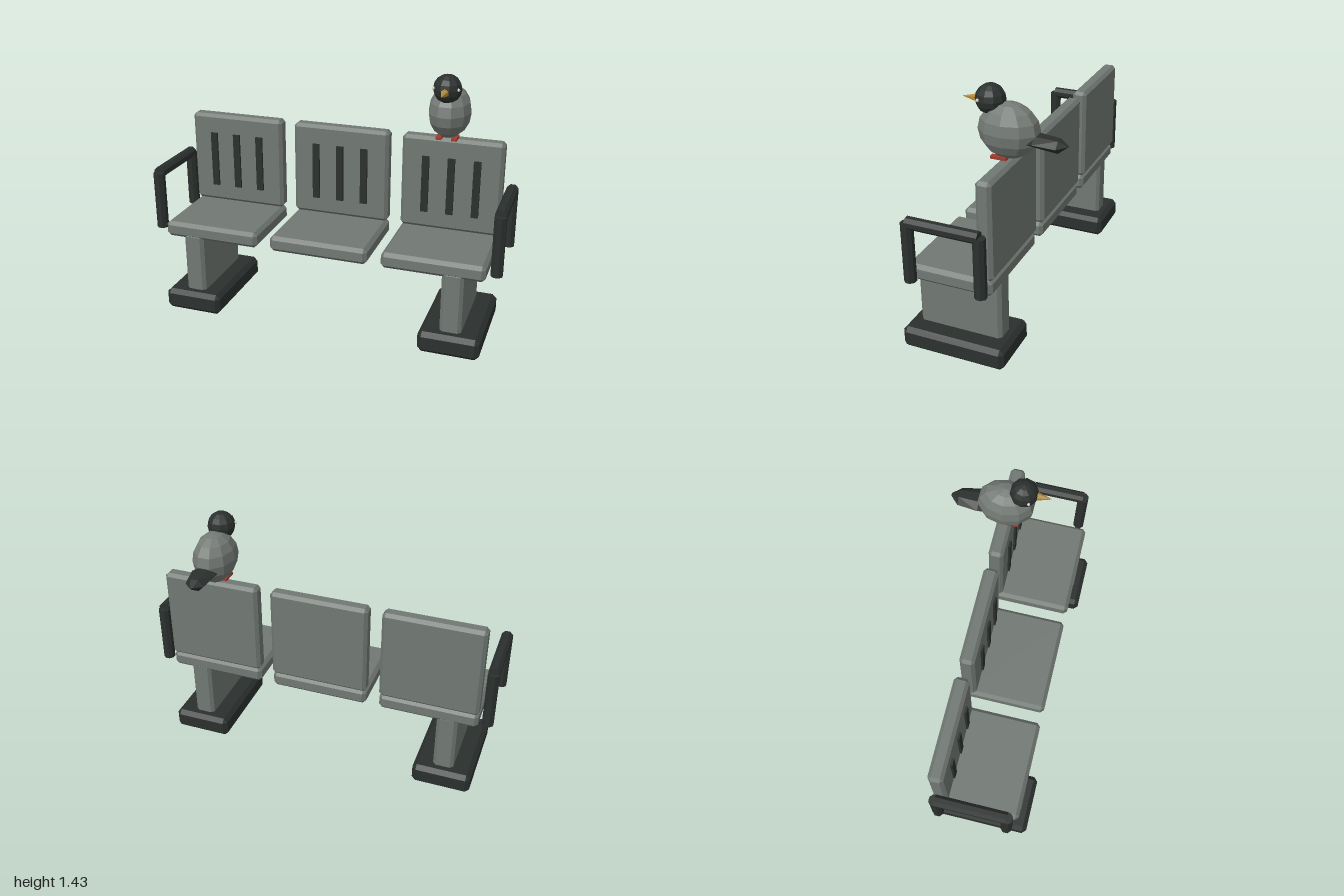
import * as THREE from 'three';
import { ConvexGeometry } from 'three/addons/geometries/ConvexGeometry.js';

const paint = (color) => new THREE.MeshStandardMaterial({ color, flatShading: true });
const grey = paint(0x717873);
const dark = paint(0x2b302e);
const plumage = paint(0x747a75);
const yellow = paint(0xb08a3c);
const red = paint(0xa03c2c);
const pale = paint(0xd8d4c0);

function add(parent, name, geometry, material, x = 0, y = 0, z = 0) {
  const mesh = new THREE.Mesh(geometry, material);
  mesh.name = name;
  mesh.position.set(x, y, z);
  parent.add(mesh);
  return mesh;
}

// Box with every edge cut off at 45 degrees
function chamferBox(w, h, d, c) {
  const points = [];
  for (const sx of [-1, 1]) for (const sy of [-1, 1]) for (const sz of [-1, 1]) {
    const x = w / 2, y = h / 2, z = d / 2;
    points.push(
      new THREE.Vector3(sx * x, sy * (y - c), sz * (z - c)),
      new THREE.Vector3(sx * (x - c), sy * y, sz * (z - c)),
      new THREE.Vector3(sx * (x - c), sy * (y - c), sz * z));
  }
  return new ConvexGeometry(points);
}

// Seat pan, backrest and three dark slots
function buildSeat(x) {
  const seat = new THREE.Group();
  seat.name = 'seat';
  seat.position.x = x;
  add(seat, 'seatPan', chamferBox(0.56, 0.09, 0.475, 0.02), grey, 0, 0.483, 0.109);
  add(seat, 'backrest', chamferBox(0.56, 0.535, 0.083, 0.018), grey, 0, 0.795, -0.095);
  for (const sx of [-0.142, 0, 0.142]) {
    add(seat, 'backrestSlot', new THREE.BoxGeometry(0.04, 0.325, 0.012), dark, sx, 0.792, -0.044);
  }
  return seat;
}

// Pedestal leg on a heavy foot
function buildLeg(side) {
  const leg = new THREE.Group();
  leg.name = 'leg';
  add(leg, 'pedestal', chamferBox(0.118, 0.4, 0.47, 0.018), grey, side * 0.749, 0.27, 0.111);
  add(leg, 'foot', chamferBox(0.335, 0.122, 0.58, 0.024), dark, side * 0.75, 0.061, 0.111);
  return leg;
}

// Two posts joined by a top bar
function buildArmrest(side) {
  const arm = new THREE.Group();
  arm.name = 'armrest';
  arm.position.x = side * 0.967;
  const r = 0.033;
  for (const z of [0.291, -0.098]) {
    add(arm, 'armrestPost', new THREE.CylinderGeometry(r, r, 0.33, 8), dark, 0, 0.635, z)
      .rotation.y = Math.PI / 8;
  }
  const bar = add(arm, 'armrestBar', new THREE.CylinderGeometry(r, r, 0.389, 8), dark, 0, 0.8, 0.0965);
  bar.rotation.set(Math.PI / 2, Math.PI / 8, 0);
  return arm;
}

// Bird perched on the backrest
function buildBird() {
  const bird = new THREE.Group();
  bird.name = 'bird';
  bird.position.x = 0.606;
  add(bird, 'body', new THREE.SphereGeometry(1, 10, 8), plumage, 0, 1.208, -0.095)
    .scale.set(0.116, 0.143, 0.16);
  add(bird, 'head', new THREE.SphereGeometry(0.077, 10, 8), dark, 0, 1.354, 0);
  const beak = add(bird, 'beak', new THREE.ConeGeometry(0.025, 0.09, 6), yellow, 0, 1.346, 0.107);
  beak.rotation.x = Math.PI / 2;
  for (const side of [-1, 1]) {
    add(bird, 'eye', new THREE.SphereGeometry(0.009, 6, 5), pale, side * 0.065, 1.36, 0.038);
    add(bird, 'claw', new THREE.BoxGeometry(0.03, 0.014, 0.085), red, side * 0.042, 1.071, -0.058);
    add(bird, 'birdLeg', new THREE.CylinderGeometry(0.008, 0.008, 0.04, 6), red, side * 0.042, 1.088, -0.08);
  }
  // Tail sections: z, middle y, half width, half height
  const points = [];
  for (const [z, y, w, h] of [[-0.205, 1.17, 0.06, 0.02], [-0.24, 1.178, 0.072, 0.027],
    [-0.355, 1.165, 0.053, 0.032], [-0.4, 1.17, 0.008, 0.003]]) {
    for (const [px, py] of [[-1, 0], [-0.4, 1], [0.4, 1], [1, 0], [0.4, -1], [-0.4, -1]]) {
      points.push(new THREE.Vector3(px * w, y + py * h, z));
    }
  }
  add(bird, 'tail', new ConvexGeometry(points), dark);
  return bird;
}

export function createModel() {
  const model = new THREE.Group();
  model.name = 'benchWithBird';
  for (const x of [-0.637, 0, 0.637]) model.add(buildSeat(x));
  for (const side of [-1, 1]) model.add(buildLeg(side), buildArmrest(side));
  model.add(buildBird());
  return model;
}
